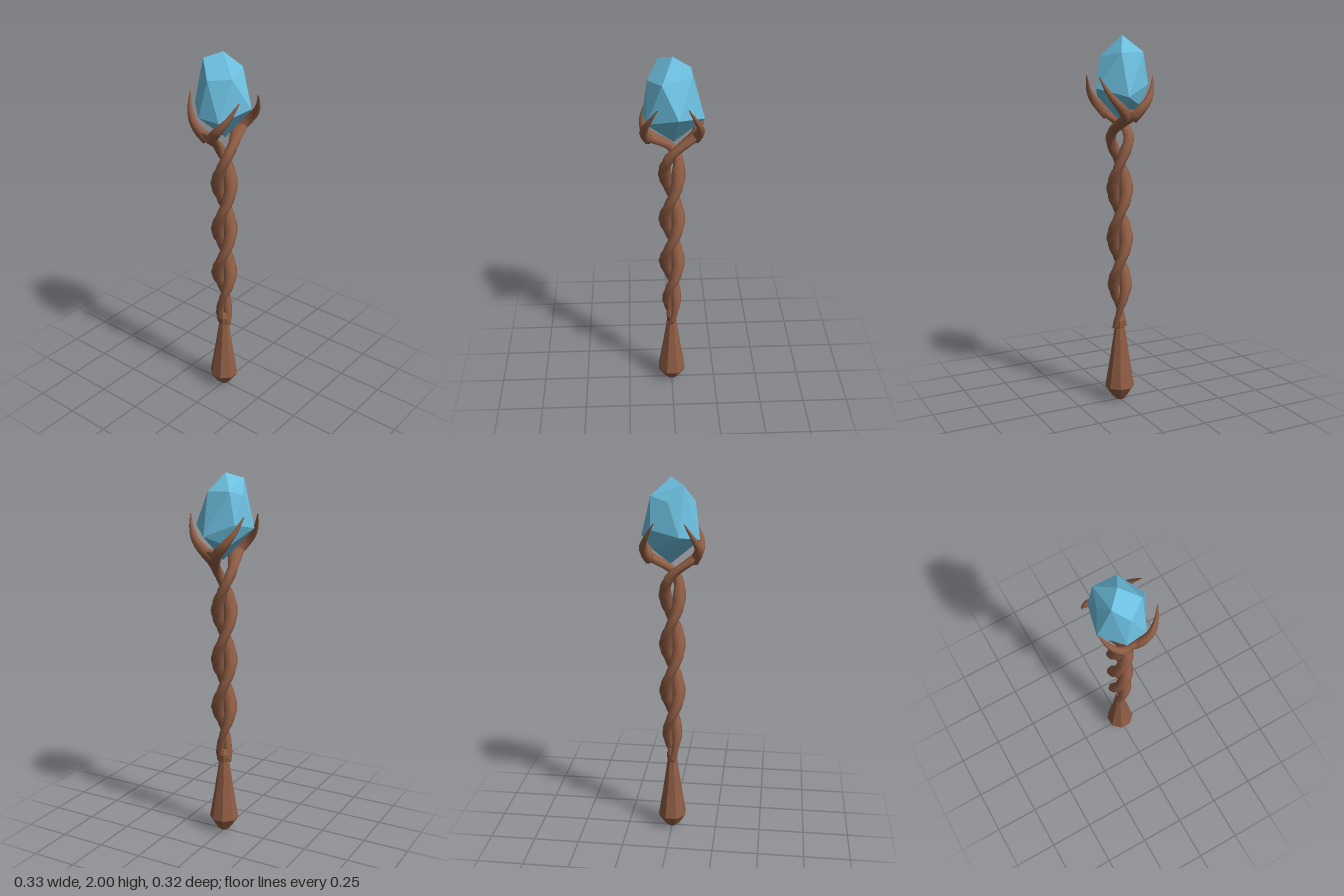
import * as THREE from 'three';
import { ConvexGeometry } from 'three/addons/geometries/ConvexGeometry.js';

const V = (x, y, z) => new THREE.Vector3(x, y, z);

// Sweep an oval section along rings { c: centre, u: axis hint, ru, rv }
function loft(rings, sides, faceted) {
  const pos = [], index = [], n = rings.length;
  rings.forEach((r, i) => {
    const t = rings[Math.min(i + 1, n - 1)].c.clone().sub(rings[Math.max(i - 1, 0)].c).normalize();
    const u = r.u.clone().addScaledVector(t, -r.u.dot(t)).normalize();
    const v = t.clone().cross(u);
    for (let j = 0; j < sides; j++) {
      const a = (j / sides) * Math.PI * 2;
      const p = r.c.clone().addScaledVector(u, r.ru * Math.cos(a)).addScaledVector(v, r.rv * Math.sin(a));
      pos.push(p.x, p.y, p.z);
    }
  });
  for (let i = 0; i < n - 1; i++) {
    for (let j = 0; j < sides; j++) {
      const k = (j + 1) % sides, a = i * sides, b = a + sides;
      index.push(a + j, a + k, b + k, a + j, b + k, b + j);
    }
  }
  const end = (n - 1) * sides;
  for (let j = 1; j < sides - 1; j++) {
    index.push(0, j + 1, j, end, end + j, end + j + 1);
  }
  let g = new THREE.BufferGeometry();
  g.setAttribute('position', new THREE.Float32BufferAttribute(pos, 3));
  g.setIndex(index);
  if (faceted) g = g.toNonIndexed();
  g.computeVertexNormals();
  return g;
}

export function createModel() {
  const wood = new THREE.MeshStandardMaterial({ color: 0x8f5d44 });
  wood.name = 'brown wood';
  const gem = new THREE.MeshStandardMaterial({ color: 0x6cbfdf });
  gem.name = 'pale blue crystal';

  const model = new THREE.Group();
  model.name = 'crystalStaff';
  const add = (name, geometry, material, parent = model) => {
    const m = new THREE.Mesh(geometry, material);
    m.name = name;
    parent.add(m);
  };

  // Flared octagonal grip with a blunt pommel
  const grip = [[0, 0.018], [0.02, 0.042], [0.08, 0.081], [0.25, 0.053], [0.42, 0.028], [0.46, 0.032], [0.49, 0.02]];
  add('grip', loft(grip.map(([y, r]) => ({ c: V(0, y, 0), u: V(0.92, 0, 0.38), ru: r, rv: r })), 8, true), wood);

  // One strand: half of the twisted shaft, opening into a claw arm
  const strand = [];
  for (let i = 0; i <= 48; i++) {
    const y = 0.42 + (1.06 * i) / 48;
    const a = (Math.PI * (y - 1.1)) / 0.27;
    const grow = THREE.MathUtils.lerp(0.62, 1, THREE.MathUtils.smoothstep(y, 0.45, 0.75));
    const split = THREE.MathUtils.smoothstep(y, 1.36, 1.46);
    const u = V(Math.cos(a), 0, -Math.sin(a));
    strand.push({
      c: u.clone().multiplyScalar(grow * (0.036 + 0.011 * split)).setY(y),
      u, ru: grow * (0.036 - 0.008 * split), rv: grow * 0.027,
    });
  }
  const arm = [
    [0.012, 1.51, 0.045, 0.028, 0.023], [0.045, 1.535, 0.036, 0.034, 0.022],
    [0.085, 1.562, 0.02, 0.042, 0.023], [0.12, 1.587, 0.006, 0.05, 0.024],
    [0.14, 1.618, 0, 0.045, 0.015],
  ];
  arm.forEach(([x, y, z, ru, rv]) => strand.push({ c: V(x, y, z), u: V(0, 0, 1), ru, rv }));
  const strandGeometry = loft(strand, 8, false);

  // Curved tine, two per arm
  const tine = (s) => {
    const curve = new THREE.CatmullRomCurve3([
      V(0.118, 1.575, 0.012 * s), V(0.14, 1.622, 0.05 * s), V(0.139, 1.665, 0.09 * s),
      V(0.115, 1.72, 0.127 * s), V(0.077, 1.79, 0.155 * s),
    ]);
    const rings = [];
    for (let i = 0; i <= 10; i++) {
      const r = 0.003 + 0.028 * (1 - Math.pow(i / 10, 1.6));
      rings.push({ c: curve.getPoint(i / 10), u: V(1, 0, 0), ru: r * 0.85, rv: r });
    }
    return loft(rings, 7, false);
  };

  for (const side of [0, 1]) {
    const half = new THREE.Group();
    half.name = side ? 'rightStrandAndClaw' : 'leftStrandAndClaw';
    half.rotation.y = side * Math.PI;
    add('twistedStrand', strandGeometry, wood, half);
    add('frontTine', tine(1), wood, half);
    add('backTine', tine(-1), wood, half);
    model.add(half);
  }

  // Irregular faceted crystal: apex, shoulder ring, waist ring, foot
  const crystal = [
    [0.005, 2, -0.01],
    [-0.065, 1.97, -0.08], [0.1, 1.915, -0.085], [0.1, 1.91, 0.04], [-0.05, 1.89, 0.09], [-0.12, 1.88, -0.01], [0.01, 1.89, -0.115],
    [-0.05, 1.72, -0.15], [0.1, 1.75, -0.115], [0.165, 1.69, 0.03], [0.03, 1.73, 0.15], [-0.13, 1.68, 0.07], [-0.147, 1.69, -0.045],
    [0.09, 1.64, -0.075], [0.01, 1.55, 0],
  ];
  add('crystal', new ConvexGeometry(crystal.map((p) => V(...p))), gem);

  return model;
}
